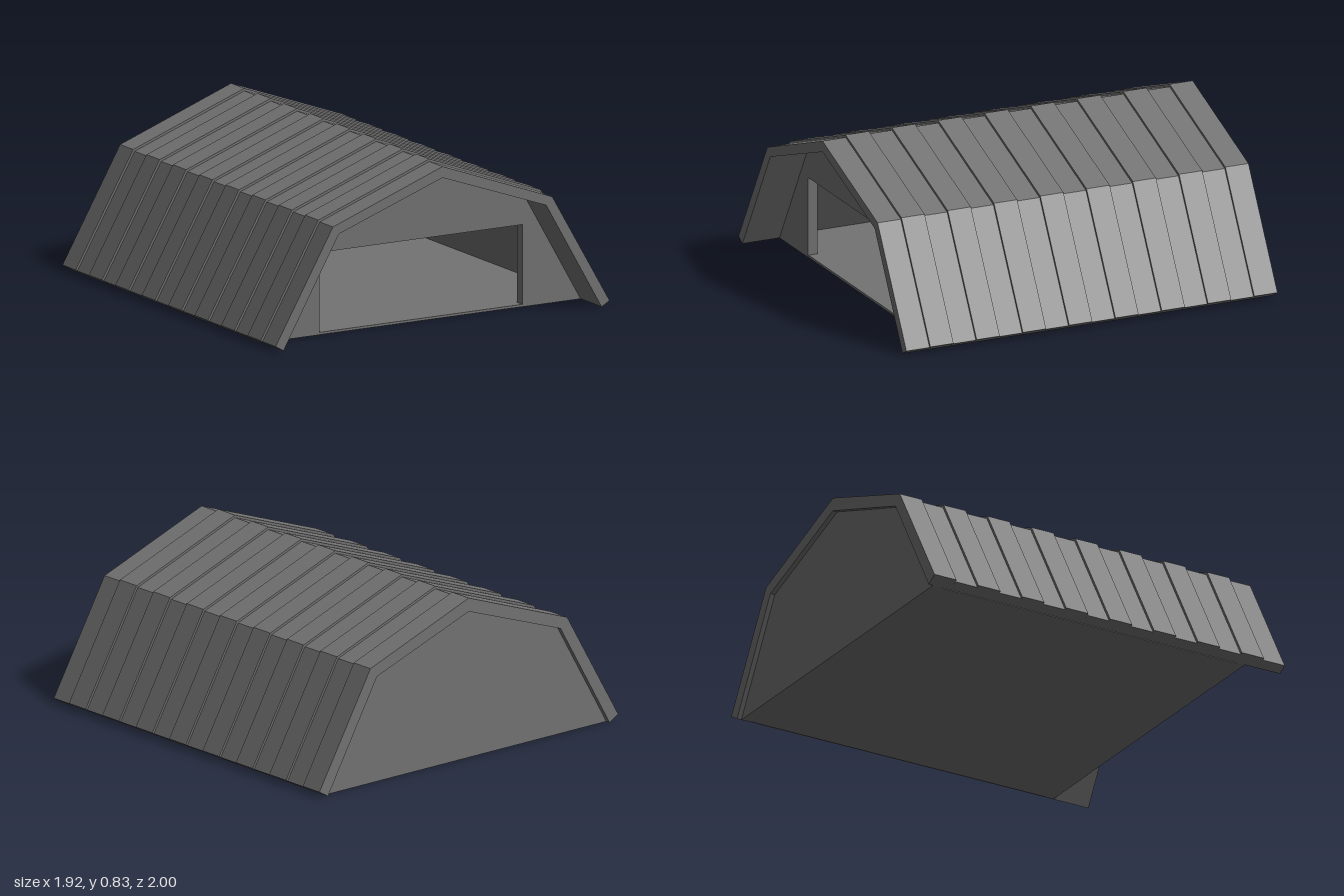
import * as THREE from 'three';

const grey = new THREE.MeshStandardMaterial({ color: 0x737373, flatShading: true });

// Half profiles of the gambrel roof, from the ridge down to the eave (x, y)
const INNER = [[0, 0.757], [0.59, 0.547], [0.905, 0]];
const LOW = [[0, 0.813], [0.624, 0.586], [0.95, 0.026]];
const HIGH = [[0, 0.826], [0.632, 0.596], [0.96, 0.032]];

// Mirror a half profile into a full line running from -x to +x
function fullLine(half) {
  const left = half.slice(1).reverse().map(([x, y]) => [-x, y]);
  return [...left, ...half].map(([x, y]) => new THREE.Vector2(x, y));
}

// Extrude a shape between two z positions
function slab(name, shape, z0, z1) {
  const geometry = new THREE.ExtrudeGeometry(shape, { depth: z1 - z0, bevelEnabled: false });
  geometry.translate(0, 0, z0);
  const mesh = new THREE.Mesh(geometry, grey);
  mesh.name = name;
  return mesh;
}

export function createModel() {
  const model = new THREE.Group();
  model.name = 'hangar';

  // Corrugated roof: alternating raised and sunken arch bands
  const roof = new THREE.Group();
  roof.name = 'roof';
  const bands = 16;
  const depth = 2 / bands;
  for (let i = 0; i < bands; i++) {
    const raised = i % 2 === 0;
    const outline = [...fullLine(raised ? HIGH : LOW), ...fullLine(INNER).reverse()];
    const z = -1 + i * depth;
    roof.add(slab(raised ? 'roofRib' : 'roofPanel', new THREE.Shape(outline), z, z + depth));
  }
  model.add(roof);

  // Closed back wall, set slightly in from the roof end
  model.add(slab('backWall', new THREE.Shape(fullLine(INNER)), -0.975, -0.925));

  // Front wall, set deep under the roof, with a wide doorway open to the ground
  const front = fullLine(INNER);
  for (const [x, y] of [[0.575, 0], [0.575, 0.412], [-0.58, 0.412], [-0.58, 0]]) {
    front.push(new THREE.Vector2(x, y));
  }
  model.add(slab('frontWall', new THREE.Shape(front), 0.75, 0.8));

  // Thin floor between the walls
  const floor = new THREE.Mesh(new THREE.BoxGeometry(1.8, 0.012, 1.77), grey);
  floor.position.set(0, 0.006, -0.087);
  floor.name = 'floor';
  model.add(floor);

  return model;
}
